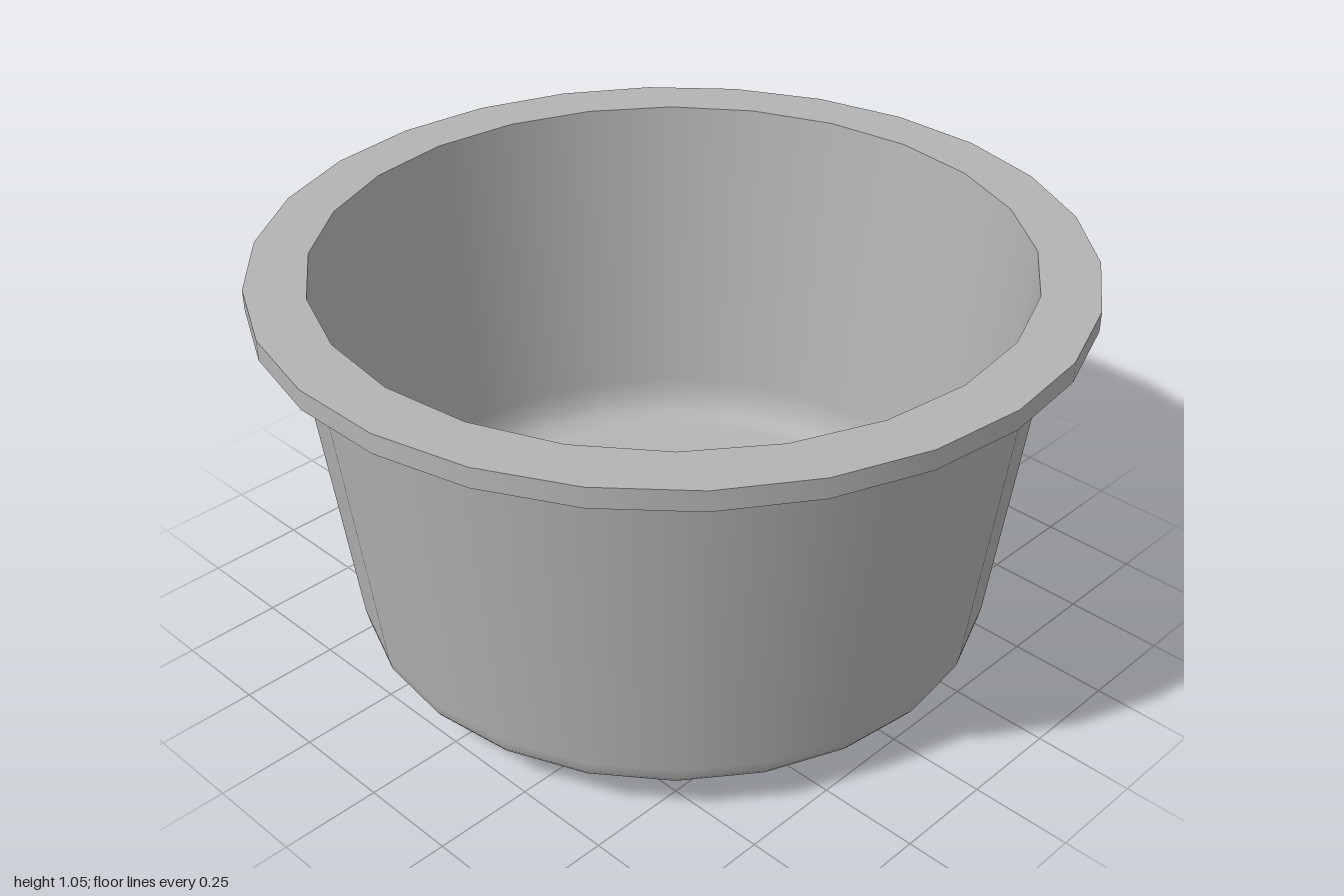
import * as THREE from 'three';
import { mergeVertices } from 'three/addons/utils/BufferGeometryUtils.js';

const DRAIN_Z = -0.29;

export function createModel() {
  const group = new THREE.Group();
  const grey = new THREE.MeshStandardMaterial({ color: 0xb4b4b4 });
  grey.name = 'grey';

  const add = (name, geometry, y = 0, z = 0) => {
    const mesh = new THREE.Mesh(geometry, grey);
    mesh.name = name;
    mesh.position.set(0, y, z);
    group.add(mesh);
  };

  // Profiles running upward face outward, downward ones face inward
  const lathe = (points, sides) =>
    new THREE.LatheGeometry(points.map(([r, y]) => new THREE.Vector2(r, y)), sides, Math.PI / 2);

  const circle = (r, sides) => Array.from({ length: sides }, (_, i) => {
    const a = (i / sides) * Math.PI * 2;
    return new THREE.Vector2(r * Math.cos(a), r * Math.sin(a));
  });

  // Flat horizontal ring whose two edges may have different side counts
  const flatRing = (outer, outerSides, inner, innerSides, facing) => {
    const shape = new THREE.Shape(circle(outer, outerSides));
    shape.holes.push(new THREE.Path(circle(inner, innerSides)));
    return new THREE.ShapeGeometry(shape).rotateX(-facing * Math.PI / 2);
  };

  // Shallow dished floor with an off-centre drain opening
  const dishedFloor = (hole, outer, low, high, facing) => {
    let g = new THREE.RingGeometry(hole, outer, 24, 8).rotateX(-facing * Math.PI / 2);
    const p = g.attributes.position;
    for (let i = 0; i < p.count; i++) {
      const x = p.getX(i);
      const t = (Math.hypot(x, p.getZ(i)) - hole) / (outer - hole);
      const z = p.getZ(i) + DRAIN_Z * (1 - t);
      const slope = THREE.MathUtils.clamp((Math.hypot(x, z) - 0.33) / (outer - 0.33), 0, 1);
      p.setXYZ(i, x, low + (high - low) * slope, z);
    }
    g.deleteAttribute('uv');
    g.deleteAttribute('normal');
    g = mergeVertices(g);
    g.computeVertexNormals();
    return g;
  };

  // Rim
  add('rimTop', flatRing(1, 26, 0.86, 24, 1), 1.05);
  add('rimUnderside', flatRing(1, 26, 0.925, 24, -1), 1);
  add('rimEdge', lathe([[1, 1], [1, 1.05]], 26));

  // Bowl walls, rounded into the floor and the rim
  add('outerWall', lathe([
    [0.77, 0.098], [0.785, 0.104], [0.795, 0.118], [0.802, 0.15],
    [0.9, 0.96], [0.906, 0.982], [0.925, 1],
  ], 24));
  add('innerWall', lathe([
    [0.86, 1.05], [0.77, 0.24], [0.758, 0.19], [0.735, 0.155], [0.7, 0.138],
  ], 24));

  // Bowl floor
  add('innerFloor', dishedFloor(0.27, 0.7, 0.097, 0.138, 1));
  add('outerFloor', dishedFloor(0.3, 0.77, 0.055, 0.098, -1));

  // Drain collar with a stepped opening
  add('drainRecess', lathe([[0.27, 0.11], [0.27, 0.05]], 24), 0, DRAIN_Z);
  add('drainLedge', flatRing(0.27, 24, 0.215, 12, 1), 0.05, DRAIN_Z);
  add('drainHole', lathe([[0.215, 0.05], [0.215, 0]], 12), 0, DRAIN_Z);
  add('collarSide', lathe([[0.335, 0], [0.335, 0.085]], 20), 0, DRAIN_Z);
  add('collarUnderside', flatRing(0.335, 20, 0.215, 12, -1), 0, DRAIN_Z);

  return group;
}
